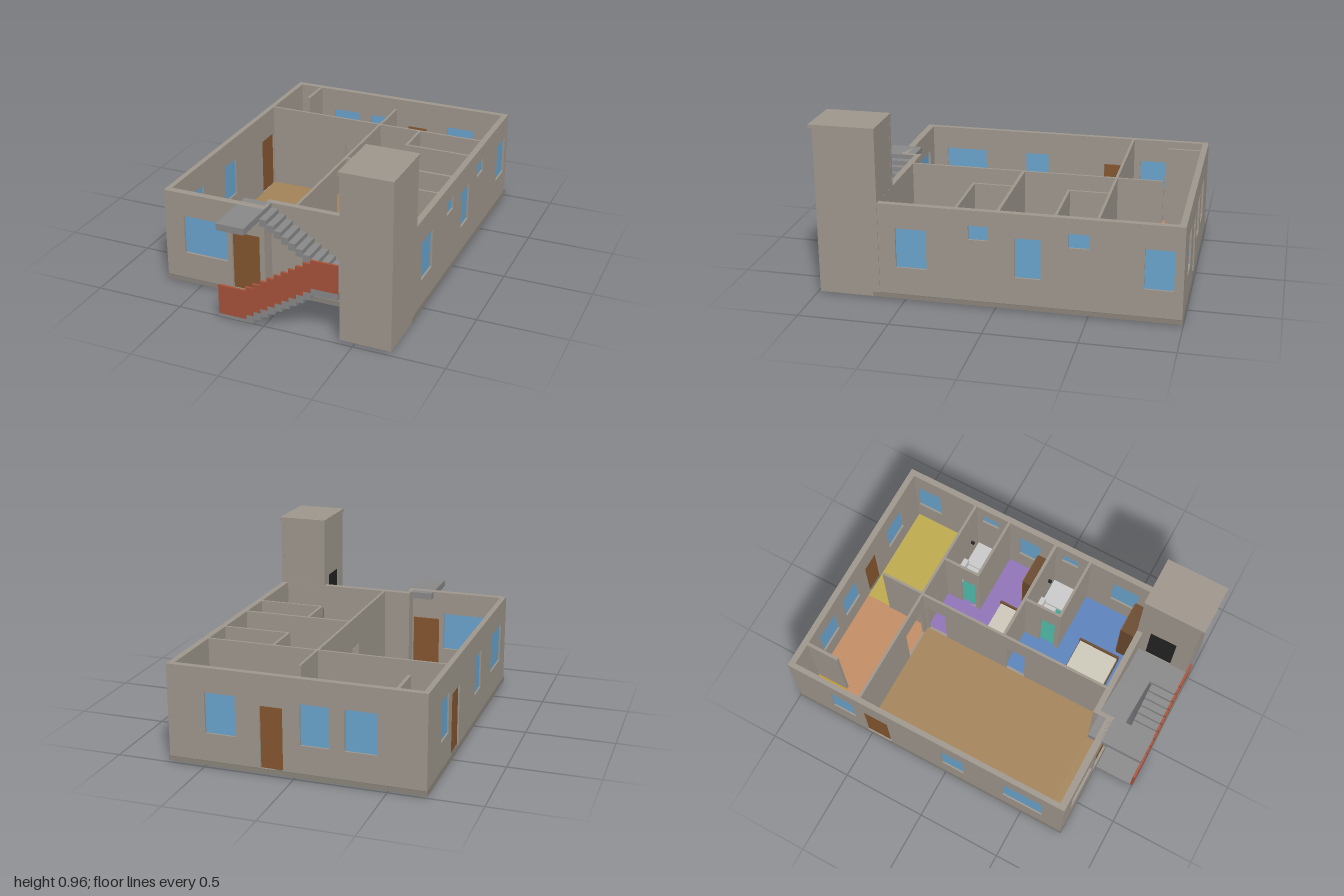
import * as THREE from 'three';

const mat = (color, side = THREE.FrontSide) => new THREE.MeshStandardMaterial({ color, side, flatShading: true });
const M = {
  wall: mat(0xa0988e), stair: mat(0x8a8a8a), slab: mat(0x8c857c), under: mat(0x6c6a66), glass: mat(0x6ba6d0),
  door: mat(0x85572f), rail: mat(0xa8533a), wood: mat(0x6b4a2e), cream: mat(0xcfcabb), white: mat(0xdedede),
  dark: mat(0x242424), tealDark: mat(0x2a7a72),
};
const H = 0.55, BASE = 0.02, FLOOR = 0.035;

export function createModel() {
  const root = new THREE.Group();
  root.name = 'housePlan';

  const group = (name) => {
    const g = new THREE.Group();
    g.name = name;
    root.add(g);
    return g;
  };
  const add = (parent, name, geo, material) => {
    const m = new THREE.Mesh(geo, material);
    m.name = name;
    parent.add(m);
    return m;
  };
  // box given by its minimum and maximum on each axis
  const box = (parent, name, material, x0, x1, y0, y1, z0, z1) => {
    const m = add(parent, name, new THREE.BoxGeometry(x1 - x0, y1 - y0, z1 - z0), material);
    m.position.set((x0 + x1) / 2, (y0 + y1) / 2, (z0 + z1) / 2);
    return m;
  };
  const polygon = (pts) => new THREE.Shape(pts.map(([x, y]) => new THREE.Vector2(x, y)));
  const rect = (a, b, c, d) => [[a, c], [b, c], [b, d], [a, d]];
  const extrude = (shape, depth) => new THREE.ExtrudeGeometry(shape, { depth, bevelEnabled: false });

  // wall along 'x' or 'z' from a to b, between c0 and c1 across;
  // openings: [kind, start, end, bottom, top]
  const wall = (parent, name, axis, a, b, c0, c1, openings = [], y0 = BASE, y1 = H) => {
    const shape = polygon(rect(a, b, y0, y1));
    const mid = (c0 + c1) / 2;
    for (const [kind, s, e, lo, hi] of openings) {
      shape.holes.push(polygon(rect(s, e, lo, hi)));
      if (kind === 'gap') continue;
      const material = { window: M.glass, door: M.door, liftDoor: M.dark }[kind];
      const top = kind === 'door' ? hi - 0.008 : hi;
      if (axis === 'x') box(parent, kind, material, s, e, lo, top, mid - 0.006, mid + 0.006);
      else box(parent, kind, material, mid - 0.006, mid + 0.006, lo, top, s, e);
    }
    const geo = extrude(shape, c1 - c0);
    if (axis === 'z') geo.rotateY(-Math.PI / 2).translate(c1, 0, 0);
    else geo.translate(0, 0, c0);
    add(parent, name, geo, M.wall);
  };
  const win = (s, e) => ['window', s, e, 0.19, 0.415];
  const vent = (s, e) => ['window', s, e, 0.385, 0.465];
  const door = (s, e) => ['door', s, e, FLOOR, 0.38];
  const gap = (s, e) => ['gap', s, e, FLOOR + 0.002, 0.38];

  // base slab, notched where the stairs stand
  const slabPts = [[-0.71, -1], [0.705, -1], [0.705, 0.68], [-0.1, 0.68], [-0.1, 0.765], [-0.71, 0.765]];
  const slab = add(root, 'baseSlab', extrude(polygon(slabPts), 0.025).rotateX(Math.PI / 2), [M.under, M.slab]);
  slab.position.y = FLOOR;

  // outer walls
  const outer = group('outerWalls');
  wall(outer, 'backWall', 'x', -0.705, 0.70, -0.995, -0.96,
    [win(0.32, 0.49), door(0.06, 0.185), win(-0.19, -0.035), win(-0.445, -0.275)]);
  wall(outer, 'rightSideWall', 'z', -0.96, 0.76, -0.705, -0.675,
    [win(-0.74, -0.59), door(-0.525, -0.365), win(-0.015, 0.125), win(0.38, 0.63)]);
  wall(outer, 'leftSideWall', 'z', -0.96, 0.675, 0.665, 0.70,
    [win(0.375, 0.545), win(-0.246, -0.107), win(-0.946, -0.79), vent(0.037, 0.144), vent(-0.5, -0.39)]);
  wall(outer, 'frontWall', 'x', -0.675, -0.105, 0.72, 0.76, [win(-0.59, -0.33), door(-0.30, -0.135)]);
  wall(outer, 'frontReturnWall', 'z', 0.64, 0.72, -0.13, -0.105);
  wall(outer, 'frontRecessedWall', 'x', -0.105, 0.665, 0.64, 0.675);

  // partitions
  const inner = group('innerWalls');
  wall(inner, 'hallPartition', 'z', -0.535, 0.64, 0.025, 0.04, [gap(0.01, 0.13), gap(-0.52, -0.4)]);
  wall(inner, 'kitchenPartition', 'z', -0.805, -0.55, 0.028, 0.042);
  wall(inner, 'crossWall', 'x', -0.675, 0.665, -0.55, -0.535, [gap(-0.19, -0.015)]);
  wall(inner, 'bedroomDivider', 'x', 0.04, 0.665, -0.02, -0.002);
  wall(inner, 'storeWall', 'z', -0.96, -0.765, -0.55, -0.532);

  // coloured room floors
  const floors = group('roomFloors');
  const floor = (name, color, x0, x1, z0, z1, lift = 0) =>
    box(floors, name, mat(color), x0, x1, FLOOR - 0.01, FLOOR + 0.002 + lift, z0, z1);
  floor('hallFloor', 0xa5855a, -0.675, 0.033, -0.543, 0.64);
  floor('hallEntryFloor', 0xa5855a, -0.675, -0.13, 0.64, 0.72);
  floor('diningFloor', 0xc48e64, -0.675, 0.035, -0.96, -0.543);
  floor('storeFloor', 0xc4982f, -0.675, -0.55, -0.96, -0.765, 0.002);
  floor('kitchenFloor', 0xbfac4e, 0.035, 0.665, -0.96, -0.543);
  floor('smallBedroomFloor', 0x9275ba, 0.033, 0.665, -0.543, -0.01);
  floor('mainBedroomFloor', 0x5b84bd, 0.033, 0.665, -0.01, 0.64);

  // the two bathrooms, alike in plan
  for (const z of [-0.535, -0.002]) {
    const bath = group('bathroom');
    floor('bathroomFloor', 0x40a292, 0.295, 0.665, z, z + 0.21, 0.002);
    wall(bath, 'bathroomSideWall', 'z', z, z + 0.225, 0.28, 0.295, [gap(z + 0.1, z + 0.195)]);
    wall(bath, 'bathroomEndWall', 'x', 0.295, 0.665, z + 0.21, z + 0.225);
    box(bath, 'basin', M.white, 0.31, 0.375, 0.15, 0.19, z + 0.005, z + 0.07);
    box(bath, 'basinStand', M.white, 0.33, 0.355, FLOOR, 0.15, z + 0.005, z + 0.045);
    box(bath, 'toiletTank', M.white, 0.43, 0.485, FLOOR, 0.17, z + 0.005, z + 0.035);
    box(bath, 'toiletBowl', M.white, 0.435, 0.48, FLOOR, 0.11, z + 0.035, z + 0.11);
    box(bath, 'showerTray', M.white, 0.505, 0.662, FLOOR, 0.06, z + 0.005, z + 0.16);
    box(bath, 'showerMat', M.tealDark, 0.505, 0.662, FLOOR, 0.045, z + 0.16, z + 0.21);
    box(bath, 'showerTap', M.dark, 0.575, 0.59, 0.2, 0.22, z, z + 0.02);
  }

  // beds and wardrobes
  const bed = (x1, z0, z1, pillows) => {
    const g = group('bed');
    box(g, 'headboard', M.wood, 0.043, 0.053, FLOOR, 0.17, z0, z1);
    box(g, 'footboard', M.wood, x1 - 0.012, x1, FLOOR, 0.12, z0, z1);
    box(g, 'bedFrame', M.wood, 0.053, x1 - 0.012, FLOOR + 0.015, 0.075, z0, z1);
    box(g, 'mattress', M.cream, 0.053, x1 - 0.014, 0.075, 0.11, z0 + 0.007, z1 - 0.007);
    const w = (z1 - z0) / pillows;
    for (let i = 0; i < pillows; i++)
      box(g, 'pillow', M.cream, 0.062, 0.135, 0.11, 0.125, z0 + i * w + 0.018, z0 + (i + 1) * w - 0.018);
  };
  bed(0.365, -0.21, -0.045, 1);
  bed(0.38, 0.325, 0.585, 2);
  for (const [z0, z1] of [[-0.105, -0.02], [0.54, 0.64]]) {
    const g = group('wardrobe');
    box(g, 'wardrobeBody', M.wood, 0.43, 0.625, FLOOR, 0.4, z0 + 0.006, z1);
    for (const x of [0.434, 0.53]) box(g, 'wardrobeDoor', M.door, x, x + 0.091, FLOOR + 0.02, 0.39, z0, z0 + 0.006);
  }

  // stairs: a stepped band between heights lo and hi around the tread line
  const band = (x, y, run, rise, n, lo, hi) => {
    const top = [], bottom = [];
    for (let i = 0; i < n; i++)
      for (const k of [i, i + 1]) {
        top.push([x + k * run, y + (i + 1) * rise + hi]);
        bottom.unshift([x + k * run, y + (i + 1) * rise + lo]);
      }
    return polygon([...top, ...bottom]);
  };
  const stairs = group('stairs');
  const RUN = 0.0411;
  box(stairs, 'bottomLanding', M.stair, -0.26, -0.065, 0, 0.02, 0.68, 1);
  box(stairs, 'middleLanding', M.stair, 0.27, 0.42, 0.25, 0.29, 0.675, 1);
  box(stairs, 'topLanding', M.stair, -0.26, -0.1, 0.512, H, 0.675, 1);
  add(stairs, 'lowerFlight', extrude(band(-0.1, 0.02, RUN, 0.027, 9, -0.045, 0), 0.16), M.stair).position.z = 0.84;
  add(stairs, 'upperFlight', extrude(band(0.27, 0.29, -RUN, 0.026, 9, -0.042, 0), 0.15), M.stair).position.z = 0.675;

  // stepped parapet along the lower flight
  const rail = group('stairParapet');
  box(rail, 'parapetStart', M.rail, -0.26, -0.1, 0.02, 0.19, 0.988, 1.002);
  box(rail, 'parapetEnd', M.rail, 0.27, 0.42, 0.29, 0.45, 0.988, 1.002);
  add(rail, 'parapetSlope', extrude(band(-0.1, 0.02, RUN, 0.027, 9, 0, 0.165), 0.014), M.rail).position.z = 0.988;

  // lift tower, open below, with a door on each level
  const tower = group('liftTower');
  const T0 = 0.01, T1 = 0.945;
  wall(tower, 'towerDoorWall', 'z', 0.64, 0.98, 0.42, 0.44,
    [['liftDoor', 0.72, 0.88, 0.02, 0.24], ['liftDoor', 0.72, 0.88, 0.295, 0.6]], T0, T1);
  wall(tower, 'towerOuterWall', 'z', 0.64, 0.98, 0.685, 0.704, [], T0, T1);
  wall(tower, 'towerFrontWall', 'x', 0.44, 0.685, 0.96, 0.98, [], T0, T1);
  wall(tower, 'towerBackWall', 'x', 0.44, 0.685, 0.641, 0.68, [], T0, T1);
  box(tower, 'towerRoof', M.wall, 0.418, 0.71, T1, 0.965, 0.638, 1);
  return root;
}
